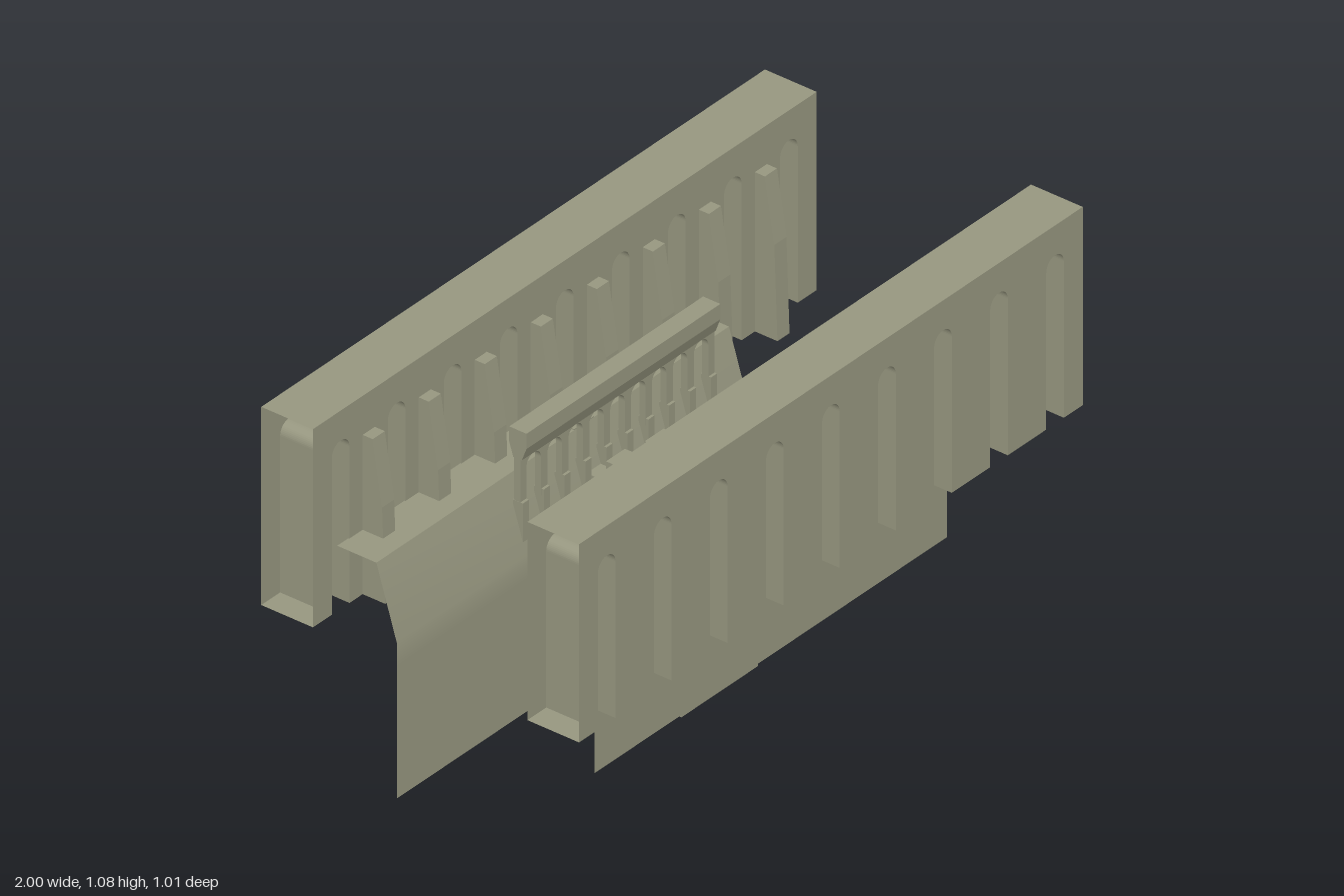
import * as THREE from 'three';

const stone = new THREE.MeshStandardMaterial({ color: 0x96967f, side: THREE.DoubleSide });
stone.name = 'olive grey';

function add(group, name, geometry) {
  const mesh = new THREE.Mesh(geometry, stone);
  mesh.name = name;
  group.add(mesh);
  return mesh;
}

function box(group, name, x0, x1, y0, y1, z0, z1) {
  const g = new THREE.BoxGeometry(x1 - x0, y1 - y0, z1 - z0);
  g.translate((x0 + x1) / 2, (y0 + y1) / 2, (z0 + z1) / 2);
  return add(group, name, g);
}

// Profile of [z, y] points extruded along x between x0 and x1
function alongX(points, x0, x1, holes = []) {
  const toV = (p) => new THREE.Vector2(p[0], p[1]);
  const shape = new THREE.Shape(points.map(toV));
  holes.forEach((h) => shape.holes.push(new THREE.Path(h.map(toV))));
  const g = new THREE.ExtrudeGeometry(shape, { depth: x1 - x0, bevelEnabled: false });
  return g.rotateY(-Math.PI / 2).translate(x1, 0, 0);
}

const rect = (z0, z1, y0, y1) => [[z0, y0], [z1, y0], [z1, y1], [z0, y1]];

// Plate with round-headed slots that open downwards
function arcade(halfLength, y0, y1, centres, r, apex, z0, z1) {
  const s = new THREE.Shape();
  s.moveTo(-halfLength, y0);
  for (const c of centres) {
    s.lineTo(c - r, y0);
    s.lineTo(c - r, apex - r);
    s.absarc(c, apex - r, r, Math.PI, 0, true);
    s.lineTo(c + r, y0);
  }
  s.lineTo(halfLength, y0);
  s.lineTo(halfLength, y1);
  s.lineTo(-halfLength, y1);
  s.closePath();
  const g = new THREE.ExtrudeGeometry(s, { depth: z1 - z0, bevelEnabled: false, curveSegments: 12 });
  return g.translate(0, 0, z0);
}

// Drops the triangles lying in the plane x = value, leaving that end open
function openEnd(g, value) {
  const p = g.attributes.position;
  const kept = [];
  for (let i = 0; i < p.count; i += 3) {
    if ([0, 1, 2].every((k) => Math.abs(p.getX(i + k) - value) < 1e-4)) continue;
    for (let k = 0; k < 3; k++) kept.push(p.getX(i + k), p.getY(i + k), p.getZ(i + k));
  }
  const out = new THREE.BufferGeometry();
  out.setAttribute('position', new THREE.Float32BufferAttribute(kept, 3));
  out.computeVertexNormals();
  return out;
}

// Thin sheet: a [z, y] profile swept from x0 to x1
function sheet(profile, x0, x1) {
  const pos = [], idx = [];
  profile.forEach(([z, y], i) => {
    pos.push(x0, y, z, x1, y, z);
    if (i) {
      const a = 2 * i - 2;
      idx.push(a, a + 1, a + 3, a, a + 3, a + 2);
    }
  });
  const g = new THREE.BufferGeometry();
  g.setAttribute('position', new THREE.Float32BufferAttribute(pos, 3));
  g.setIndex(idx);
  g.computeVertexNormals();
  return g;
}

// One side of the assembly, facing +z; the other is the same turned half round
function makeSide(name, blockTop) {
  const side = new THREE.Group();
  side.name = name;

  // Ribs on the inner face of the wall, between the slots
  for (let i = 0; i < 8; i++) {
    const x = (i - 3.5) * 0.2225;
    add(side, 'wallRib', alongX(
      [[0.345, 0.49], [0.27, 0.49], [0.28, 0.77], [0.31, 0.96], [0.345, 0.96]], x - 0.024, x + 0.024));
  }

  // Skirt sheet that flares out to a flat shelf against the wall
  add(side, 'skirtPanel', sheet([[0.155, 0.01], [0.155, 0.4], [0.155, 0.47], [0.22, 0.68]], -0.5, 0.9));
  add(side, 'skirtShelf', sheet([[0.22, 0.68], [0.345, 0.68]], -0.5, 0.9));

  // Comb: head bar, arched plate and pins
  add(side, 'combBar', alongX(
    [[0.155, 0.83], [0.21, 0.83], [0.21, 0.785], [0.197, 0.745], [0.17, 0.745], [0.155, 0.785]], -0.385, 0.385));
  const gaps = Array.from({ length: 9 }, (_, i) => (i - 4) * 0.083);
  add(side, 'combPlate', arcade(0.385, 0.6, 0.76, gaps, 0.029, 0.742, 0.174, 0.194));
  for (let i = 0; i < 10; i++) {
    const x = (i - 4.5) * 0.083;
    box(side, 'combPin', x - 0.012, x + 0.012, 0.32, 0.62, 0.166, 0.198);
  }

  // Bracket and arm that hold the comb
  add(side, 'bracket', alongX(
    [[0.2, 0.56], [0.235, 0.56], [0.245, 0.61], [0.265, 0.65], [0.265, 0.683], [0.22, 0.683], [0.22, 0.64], [0.2, 0.6]],
    0.035, 0.115));
  add(side, 'bracketFoot', alongX([[0.23, 0.565], [0.275, 0.565], [0.27, 0.61], [0.235, 0.61]], 0.05, 0.1));
  box(side, 'arm', 0.04, 0.11, 0.552, 0.565, 0.11, 0.27);

  // Raised ledge and bearing block on the core
  box(side, 'ledge', -0.152, 0.152, 0.4, 0.47, 0.118, 0.152);
  add(side, 'blockFoot', alongX([[0.03, 0.395], [0.12, 0.395], [0.12, 0.47], [0.045, 0.47]], -0.152, 0.152));
  add(side, 'block', alongX(rect(0.047, 0.122, 0.42, 0.56), -0.11, 0.11, [rect(0.068, 0.1, 0.51, 0.545)]));
  add(side, 'blockNeck', alongX(rect(0.062, 0.105, 0.56, 0.59), -0.11, 0.11));
  add(side, 'blockCap', alongX(rect(0.047, 0.122, 0.588, blockTop), 0.035, 0.11));
  add(side, 'blockCap', alongX(rect(0.055, 0.115, 0.585, blockTop - 0.01), -0.11, -0.035));
  box(side, 'blockLug', -0.15, 0.15, 0.555, 0.58, 0.118, 0.138);

  // Thin link crossing to the other side
  add(side, 'crossLink', sheet([[0.05, 0.565], [-0.05, 0.53]], 0.04, 0.1));
  return side;
}

export function createModel() {
  const model = new THREE.Group();
  model.name = 'arcadeAssembly';

  // Two long slotted walls
  const slots = Array.from({ length: 9 }, (_, i) => (i - 4) * 0.2225);
  for (const [name, z0] of [['frontWall', 0.342], ['backWall', -0.507]]) {
    add(model, name, openEnd(arcade(1, 0.49, 1.075, slots, 0.035, 0.987, z0, z0 + 0.165), -1));
  }

  // Central core with a flat tie sheet above it
  box(model, 'core', -0.152, 0.152, 0, 0.4, -0.152, 0.152);
  add(model, 'tieSheet', sheet([[0.05, 0.47], [-0.05, 0.47]], -0.08, 0.08));

  model.add(makeSide('frontSide', 0.612));
  const back = makeSide('backSide', 0.625);
  back.rotation.y = Math.PI;
  model.add(back);
  return model;
}
